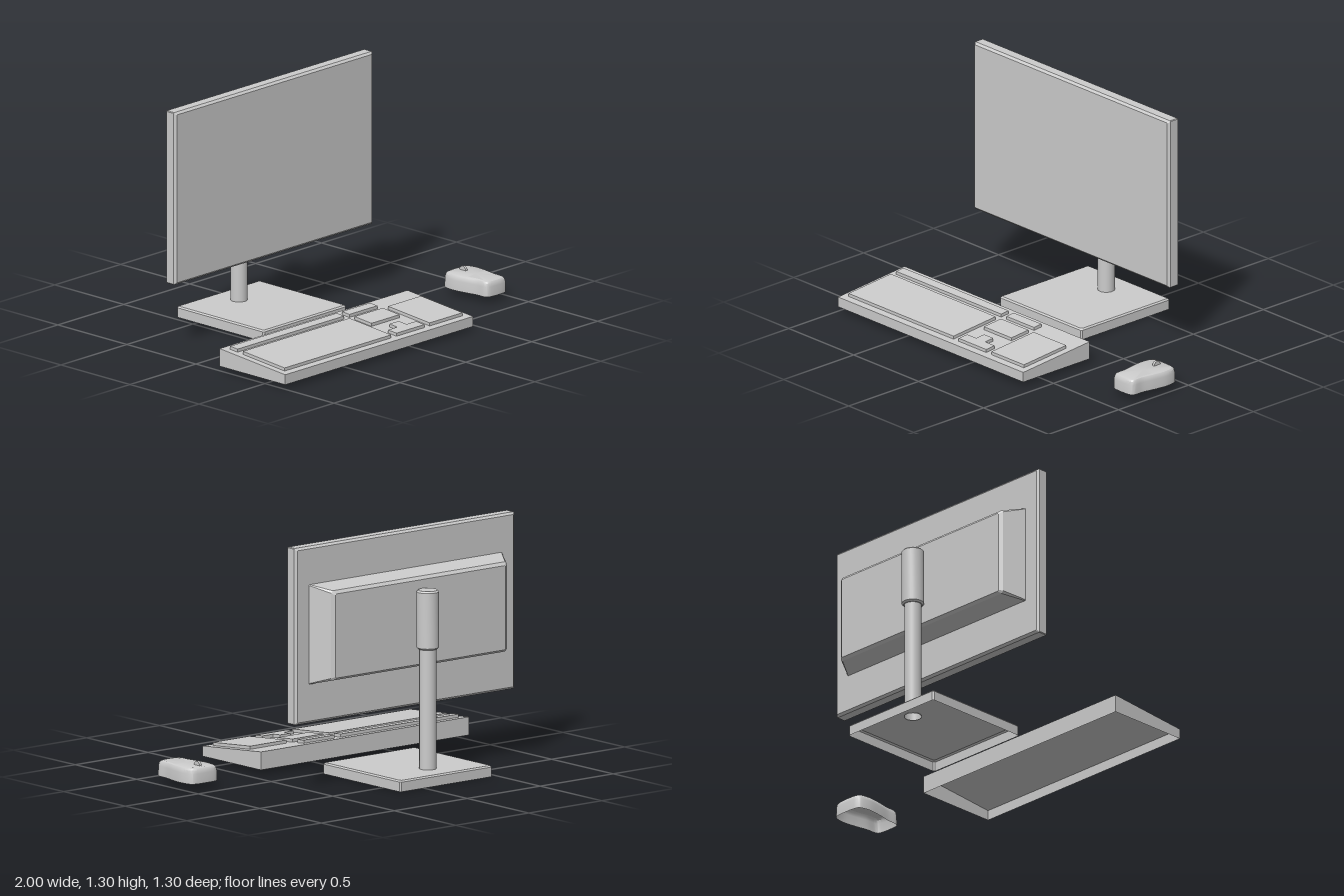
import * as THREE from 'three';
import { toCreasedNormals } from 'three/addons/utils/BufferGeometryUtils.js';

const material = new THREE.MeshStandardMaterial({ color: 0xcccccc, side: THREE.DoubleSide });

function part(name, geometry, x = 0, y = 0, z = 0) {
  const mesh = new THREE.Mesh(geometry, material);
  mesh.name = name;
  mesh.position.set(x, y, z);
  return mesh;
}

// Counter-clockwise rectangle with cut corners, at height w
function rectRing(w, x0, x1, y0, y1, c) {
  return [
    [x0 + c, y0], [x1 - c, y0], [x1, y0 + c], [x1, y1 - c],
    [x1 - c, y1], [x0 + c, y1], [x0, y1 - c], [x0, y0 + c],
  ].map(([x, y]) => new THREE.Vector3(x, y, w));
}

// Skin a stack of rings along +z, with optional end caps
function loft(rings, capStart, capEnd, crease = 0.2) {
  const pos = [];
  const tri = (...pts) => pts.forEach((p) => pos.push(p.x, p.y, p.z));
  const n = rings[0].length;
  for (let r = 0; r < rings.length - 1; r++) {
    for (let i = 0; i < n; i++) {
      const j = (i + 1) % n, a = rings[r], b = rings[r + 1];
      tri(a[i], a[j], b[j]);
      tri(a[i], b[j], b[i]);
    }
  }
  const cap = (ring, flip) => {
    const mid = ring.reduce((s, p) => s.add(p), new THREE.Vector3()).divideScalar(n);
    ring.forEach((p, i) => {
      const q = ring[(i + 1) % n];
      if (flip) tri(mid, q, p); else tri(mid, p, q);
    });
  };
  if (capStart) cap(rings[0], true);
  if (capEnd) cap(rings[rings.length - 1], false);
  const g = new THREE.BufferGeometry();
  g.setAttribute('position', new THREE.Float32BufferAttribute(pos, 3));
  g.computeVertexNormals();
  return toCreasedNormals(g, crease);
}

const upright = (g) => g.rotateX(-Math.PI / 2);

function buildMonitor() {
  const group = new THREE.Group();
  group.name = 'monitor';

  const panelRing = (w, e) => rectRing(w, -0.91 + e, 0.595 - e, 0.36 + e, 1.305 - e, 0.004);
  group.add(part('screenPanel', loft([
    panelRing(-0.312, 0.012), panelRing(-0.3, 0), panelRing(-0.247, 0), panelRing(-0.235, 0.012),
  ], true, true)));

  // Tapered rear housing
  group.add(part('rearHousing', loft([
    rectRing(-0.434, -0.74, 0.425, 0.61, 1.06, 0.006),
    rectRing(-0.42, -0.76, 0.445, 0.597, 1.077, 0.012),
    rectRing(-0.31, -0.82, 0.505, 0.568, 1.102, 0.004),
  ], true, false)));

  // Stand: open post inside a thicker capped sleeve
  const px = -0.16, pz = -0.49;
  group.add(part('standPost', new THREE.CylinderGeometry(0.045, 0.045, 0.66, 32, 1, true), px, 0.385, pz));
  const sleeve = [[0, 0.7], [0.05, 0.7], [0.059, 0.709], [0.059, 1.006], [0.05, 1.015], [0, 1.015]]
    .map(([r, y]) => new THREE.Vector2(r, y));
  group.add(part('standSleeve', toCreasedNormals(new THREE.LatheGeometry(sleeve, 32), 0.5), px, 0, pz));

  // Hollow foot, open below, with a hole for the post
  const footRing = (w, e) => rectRing(w, -0.47 + e, 0.16 - e, 0.015 + e, 0.648 - e, 0.008);
  const topRing = footRing(0.06, 0.008);
  group.add(part('footSides', upright(loft([footRing(0, 0), footRing(0.052, 0), topRing], false, false))));
  const top = new THREE.Shape(topRing.map((p) => new THREE.Vector2(p.x, p.y)));
  top.holes.push(new THREE.Path().absarc(px, -pz, 0.045, 0, Math.PI * 2, true));
  group.add(part('footTop', upright(new THREE.ShapeGeometry(top, 24)), 0, 0.06, 0));
  return group;
}

function buildKeyboard() {
  const group = new THREE.Group();
  group.name = 'keyboard';
  const deckY = (z) => 0.08 + (0.647 - z) * 0.088;

  // Wedge-shaped shell, open below
  const ring = (height) => [[-1, 0.647], [0.425, 0.647], [0.425, 0.172], [-1, 0.172]]
    .map(([x, z]) => new THREE.Vector3(x, -z, height(z)));
  group.add(part('keyboardShell', upright(loft([ring(() => 0.025), ring(deckY)], false, true))));

  // Raised key blocks that follow the sloping deck
  const keyBlock = (name, outline) => {
    const shape = new THREE.Shape(outline.map(([x, z]) => new THREE.Vector2(x, -z)));
    const g = upright(new THREE.ExtrudeGeometry(shape, { depth: 0.017, bevelEnabled: false }));
    const p = g.attributes.position;
    for (let i = 0; i < p.count; i++) p.setY(i, p.getY(i) + deckY(p.getZ(i)));
    g.computeVertexNormals();
    group.add(part(name, g));
  };
  const box = (x0, x1, z0, z1) => [[x0, z1], [x1, z1], [x1, z0], [x0, z0]];
  keyBlock('mainKeys', box(-0.963, -0.155, 0.305, 0.607));
  keyBlock('functionKeys', box(-0.963, -0.155, 0.213, 0.266));
  keyBlock('systemKeys', box(-0.115, 0.097, 0.213, 0.266));
  keyBlock('navigationKeys', box(-0.115, 0.097, 0.305, 0.427));
  keyBlock('numberPad', box(0.137, 0.387, 0.305, 0.607));
  keyBlock('arrowKeys', [
    [-0.115, 0.607], [0.097, 0.607], [0.097, 0.547], [0.025, 0.547],
    [0.025, 0.49], [-0.045, 0.49], [-0.045, 0.547], [-0.115, 0.547],
  ]);
  return group;
}

function buildMouse() {
  const group = new THREE.Group();
  group.name = 'mouse';
  const cx = 0.893, cz = 0.222;

  // Half outline (x, z) from the narrow end to the wide end, then mirrored
  const half = [[0.062, 0.374], [0.075, 0.362], [0.079, 0.3], [0.094, 0.22],
    [0.102, 0.14], [0.09, 0.082], [0.075, 0.069]];
  const outline = [...half, ...half.slice().reverse().map(([x, z]) => [-x, z])];
  const curve = new THREE.CatmullRomCurve3(
    outline.map(([x, z]) => new THREE.Vector3(x, cz - z, 0)), true, 'centripetal');
  const points = curve.getPoints(84).slice(0, -1);
  const ring = (w, inset) => points.map((p) => new THREE.Vector3(
    p.x * (1 - inset / 0.1), p.y * (1 - inset / 0.153), w));
  group.add(part('mouseShell', upright(loft([
    ring(0.036, 0), ring(0.09, 0.001), ring(0.108, 0.005), ring(0.116, 0.011), ring(0.12, 0.02),
  ], false, true, 0.45)), cx, 0, cz));

  const wheel = new THREE.CylinderGeometry(0.022, 0.022, 0.014, 24).rotateZ(Math.PI / 2);
  group.add(part('scrollWheel', wheel, cx, 0.12, 0.13));
  return group;
}

export function createModel() {
  const model = new THREE.Group();
  model.name = 'desktopSet';
  model.add(buildMonitor(), buildKeyboard(), buildMouse());
  return model;
}
